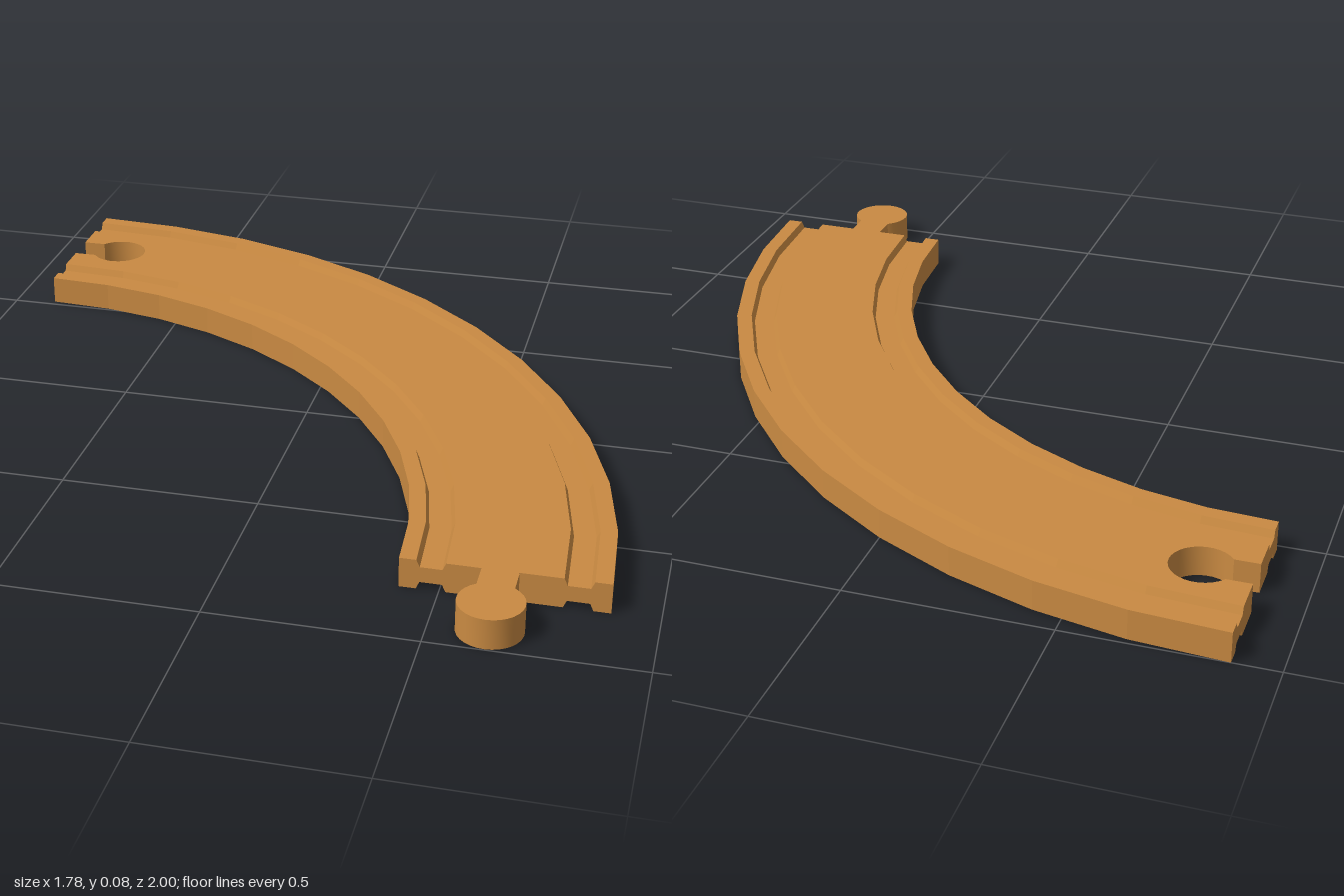
import * as THREE from 'three';
import { toCreasedNormals } from 'three/addons/utils/BufferGeometryUtils.js';

const H = 0.075;            // track thickness
const CX = -0.888, CZ = 0.789; // centre of the curve
const R_IN = 1.295;         // inner radius
const STEPS = 12;

// Point on the curve: offset across the track, t from the socket end (0) to the peg end (1)
function bend(offset, t) {
  const a = t * Math.PI / 2;
  const r = R_IN + offset;
  return [CX + r * Math.sin(a), CZ - (r + 0.012 * Math.cos(a)) * Math.cos(a)];
}

// Plan outline given as [x, z] points, raised to full thickness
function plate(points) {
  const shape = new THREE.Shape(points.map(([x, z]) => new THREE.Vector2(x, -z)));
  const geo = new THREE.ExtrudeGeometry(shape, { depth: H, bevelEnabled: false });
  geo.rotateX(-Math.PI / 2);
  return toCreasedNormals(geo, 0.4);
}

// Points round a circle in plan
function arc(cx, cz, r, from, to, n = 24) {
  return Array.from({ length: n + 1 }, (_, i) => {
    const a = from + (to - from) * i / n;
    return [cx + r * Math.cos(a), cz + r * Math.sin(a)];
  });
}

// Cross-section swept round the curve
function sweep(profile) {
  const shape = new THREE.Shape(profile.map(([x, y]) => new THREE.Vector2(x, y)));
  const geo = new THREE.ExtrudeGeometry(shape, { depth: 1, steps: STEPS, bevelEnabled: false });
  const p = geo.attributes.position;
  for (let i = 0; i < p.count; i++) {
    const [x, z] = bend(p.getX(i), p.getZ(i));
    p.setXYZ(i, x, p.getY(i), z);
  }
  geo.computeVertexNormals();
  return geo;
}

export function createModel() {
  const group = new THREE.Group();
  group.name = 'curvedTrack';
  const wood = new THREE.MeshStandardMaterial({ color: 0xc98a42 });
  wood.name = 'wood';
  const railWood = wood;
  const add = (name, geo) => {
    const mesh = new THREE.Mesh(geo, railWood);
    mesh.name = name;
    group.add(mesh);
  };

  // Edge rails with a wheel groove above and below
  const W = 0.482, IN = 0.108, OUT = 0.374, D = 0.018, S = 0.008;
  const half = [[OUT, H], [OUT + S, H - D], [0.442 - S, H - D], [0.442, H], [W, H]];
  const section = [...half, ...half.slice().reverse().map(([x, y]) => [x, H - y])];
  add('outerRail', sweep(section));
  add('innerRail', sweep(section.map(([x, y]) => [W - x, y])));

  // Centre deck with a keyhole socket at one end
  const ts = Array.from({ length: STEPS + 1 }, (_, i) => i / STEPS);
  const sx = -0.764, sz = -0.755, sr = 0.076, sn = 0.043;
  const open = Math.asin(sn / sr);
  add('centreDeck', plate([
    ...ts.map(t => bend(IN, t)),
    ...ts.slice().reverse().map(t => bend(OUT, t)),
    [CX, sz - sn],
    ...arc(sx, sz, sr, Math.PI + open, 3 * Math.PI - open),
    [CX, sz + sn],
  ]));

  // Round connecting peg on a short neck at the other end
  const px = 0.638, pz = 0.92, pr = 0.077, pn = 0.043;
  const neck = Math.asin(pn / pr);
  add('connectorPeg', plate([
    [px - pn, CZ],
    [px + pn, CZ],
    ...arc(px, pz, pr, -Math.PI / 2 + neck, 1.5 * Math.PI - neck),
  ]));

  return group;
}
